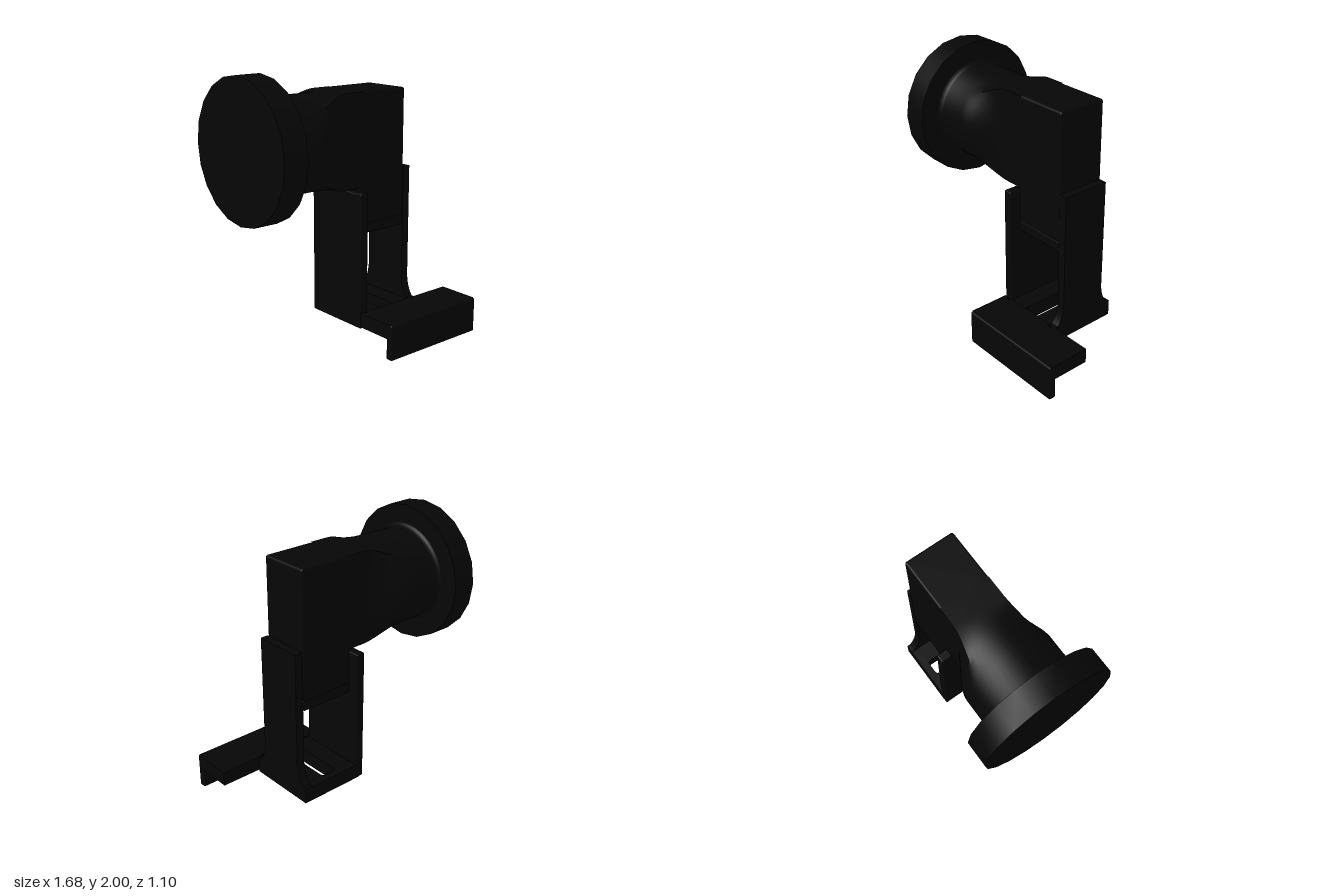
import * as THREE from 'three';
import { toCreasedNormals } from 'three/addons/utils/BufferGeometryUtils.js';
import { RoundedBoxGeometry } from 'three/addons/geometries/RoundedBoxGeometry.js';

const black = new THREE.MeshStandardMaterial({ color: 0x060606 });
black.name = 'matte black';

const AXIS_Y = 1.5, AXIS_Z = -0.047; // axis of the round head

function add(group, name, geometry) {
  const mesh = new THREE.Mesh(geometry, black);
  mesh.name = name;
  group.add(mesh);
}

// Softened box given by its limits
function block([x0, x1], [y0, y1], [z0, z1], r = 0.012) {
  const g = new RoundedBoxGeometry(x1 - x0, y1 - y0, z1 - z0, 2, r);
  return g.translate((x0 + x1) / 2, (y0 + y1) / 2, (z0 + z1) / 2);
}

// Flat outline in (x, z) given a thickness between two heights
function slab(shape, y0, y1) {
  const g = new THREE.ExtrudeGeometry(shape, { depth: y1 - y0, bevelEnabled: false, curveSegments: 8 });
  return toCreasedNormals(g.rotateX(Math.PI / 2).translate(0, y1, 0), 0.6);
}

// Neck: a round tube that blends into a flat-sided rectangular arm
function neckGeometry() {
  const R = 0.34, halfZ = 0.188, N = 48;
  const sections = []; // [x, radius, blend to rectangle]
  for (let i = 0; i <= 4; i++) {
    const a = (i / 4) * Math.PI / 2;
    sections.push([-0.62 - 0.04 * Math.cos(a), R + 0.04 * (1 - Math.sin(a)), 0]);
  }
  for (let i = 0; i <= 14; i++) {
    const t = i / 14;
    sections.push([-0.42 + 0.35 * t, R, t * t * (3 - 2 * t)]);
  }
  sections.push([0.07, R, 1]);
  const pos = [], idx = [];
  for (const [x, r, k] of sections) {
    for (let j = 0; j < N; j++) {
      const a = (j / N) * Math.PI * 2, c = Math.cos(a), s = Math.sin(a);
      const m = Math.max(Math.abs(c), Math.abs(s));
      pos.push(x,
        AXIS_Y + THREE.MathUtils.lerp(r * s, R * s / m, k),
        AXIS_Z + THREE.MathUtils.lerp(r * c, halfZ * c / m, k));
    }
  }
  for (let i = 0; i < sections.length - 1; i++) {
    for (let j = 0; j < N; j++) {
      const a = i * N + j, b = i * N + (j + 1) % N;
      idx.push(a, a + N, b, b, a + N, b + N);
    }
  }
  const g = new THREE.BufferGeometry();
  g.setAttribute('position', new THREE.Float32BufferAttribute(pos, 3));
  g.setIndex(idx);
  return toCreasedNormals(g, 0.6);
}

export function createModel() {
  const model = new THREE.Group();
  model.name = 'angledBracket';

  // Round end flange with twenty sides
  const disc = new THREE.CylinderGeometry(0.5, 0.5, 0.185, 20);
  disc.rotateZ(Math.PI / 2).translate(-0.7485, AXIS_Y, AXIS_Z);
  add(model, 'flange', toCreasedNormals(disc, 0.5));

  // Neck and hanging arm
  add(model, 'neck', neckGeometry());
  add(model, 'arm', block([0.045, 0.463], [0.89, 1.84], [-0.235, 0.141], 0.016));
  add(model, 'armFoot', block([0.045, 0.463], [0.82, 0.9], [-0.235, 0.141], 0.012));

  // Fork: wide plate on one side
  const fork = new THREE.Group();
  fork.name = 'fork';
  model.add(fork);
  add(fork, 'widePlate', block([-0.02, 0.048], [0.14, 1.14], [-0.313, 0.222], 0.01));

  // Fork: narrow plate with a flared foot on the other side
  const p = new THREE.Shape();
  p.moveTo(-0.313, 0.14);
  p.lineTo(0.222, 0.14);
  p.lineTo(0.222, 0.26);
  p.lineTo(0.195, 0.26);
  p.quadraticCurveTo(0.145, 0.32, 0.141, 0.42);
  p.lineTo(0.141, 1.26);
  p.lineTo(-0.225, 1.26);
  p.lineTo(-0.225, 0.42);
  p.quadraticCurveTo(-0.235, 0.32, -0.285, 0.26);
  p.lineTo(-0.313, 0.26);
  const narrow = new THREE.ExtrudeGeometry(p, { depth: 0.062, bevelEnabled: false, curveSegments: 8 });
  narrow.rotateY(-Math.PI / 2).translate(0.523, 0, 0);
  add(fork, 'narrowPlate', toCreasedNormals(narrow, 0.6));

  // Base floor with a rounded slot
  const floor = new THREE.Shape();
  floor.moveTo(0.02, -0.313);
  floor.lineTo(0.49, -0.313);
  floor.lineTo(0.49, 0.222);
  floor.lineTo(0.02, 0.222);
  const slot = new THREE.Path();
  const [x0, x1, z0, z1, r] = [0.193, 0.318, -0.255, 0.218, 0.025];
  slot.absarc(x0 + r, z0 + r, r, Math.PI, Math.PI * 1.5);
  slot.absarc(x1 - r, z0 + r, r, Math.PI * 1.5, Math.PI * 2);
  slot.absarc(x1 - r, z1 - r, r, 0, Math.PI / 2);
  slot.absarc(x0 + r, z1 - r, r, Math.PI / 2, Math.PI);
  floor.holes.push(slot);
  add(fork, 'floor', slab(floor, 0.14, 0.25));

  // Front step with two small relief notches along its rear edge
  const step = new THREE.Shape();
  step.moveTo(-0.02, 0.222);
  for (const x of [0.028, 0.483]) {
    step.lineTo(x - 0.018, 0.222);
    step.absarc(x, 0.222, 0.018, Math.PI, 0, true);
  }
  step.lineTo(0.838, 0.222);
  step.lineTo(0.838, 0.53);
  step.lineTo(-0.02, 0.53);
  add(model, 'step', slab(step, 0.156, 0.264));
  add(model, 'stepLip', block([-0.02, 0.838], [0, 0.264], [0.495, 0.55]));

  return model;
}
